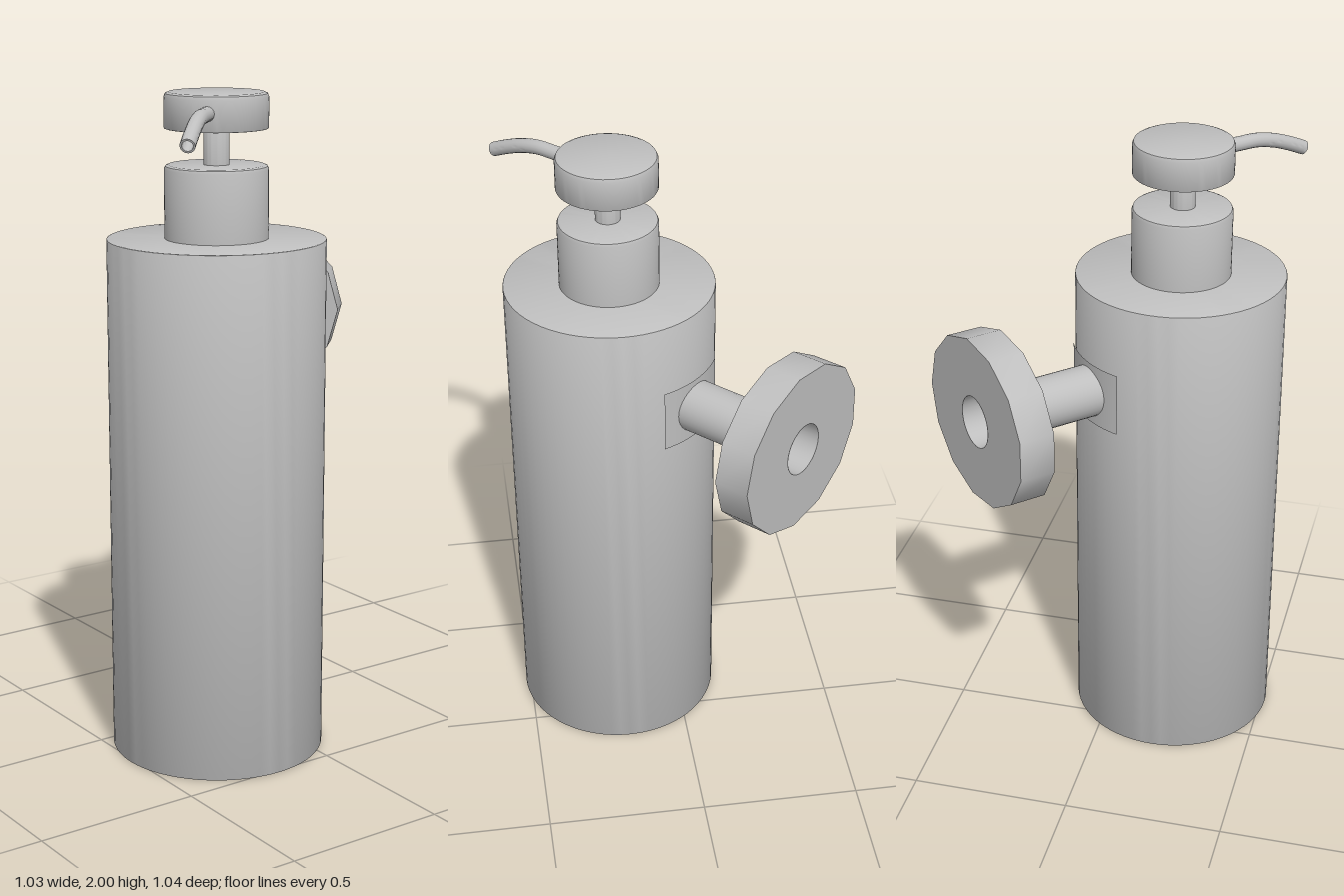
import * as THREE from 'three';
import { toCreasedNormals } from 'three/addons/utils/BufferGeometryUtils.js';

const CENTER = 0.193; // bottle axis sits at x = z = CENTER

export function createModel() {
  const model = new THREE.Group();
  model.name = 'soapDispenser';
  const steel = new THREE.MeshStandardMaterial({ color: 0xbfbfbf, side: THREE.DoubleSide });
  steel.name = 'brushed steel';

  // Everything is built around the bottle axis with +z towards the spout, then turned 45 degrees
  const body = new THREE.Group();
  body.name = 'dispenser';
  body.position.set(CENTER, 0, CENTER);
  body.rotation.y = Math.PI / 4;
  model.add(body);

  const add = (name, geometry, crease = 0.6) => {
    const mesh = new THREE.Mesh(toCreasedNormals(geometry, crease), steel);
    mesh.name = name;
    body.add(mesh);
    return mesh;
  };

  // Upright turned part with small rounded rims
  const turned = (name, radius, y0, y1, bevelBottom, bevelTop) => {
    const points = [[0, y0], [radius - bevelBottom, y0]];
    if (bevelBottom) points.push([radius - bevelBottom * 0.3, y0 + bevelBottom * 0.3], [radius, y0 + bevelBottom]);
    else points.push([radius, y0 + 0.001]);
    points.push([radius, y1 - bevelTop], [radius - bevelTop * 0.3, y1 - bevelTop * 0.3], [radius - bevelTop, y1], [0, y1]);
    return add(name, new THREE.LatheGeometry(points.map(([x, y]) => new THREE.Vector2(x, y)), 64));
  };

  turned('bottle', 0.3236, 0, 1.575, 0.004, 0.004);
  turned('collar', 0.153, 1.57, 1.79, 0, 0.012);
  turned('pumpStem', 0.038, 1.78, 1.9, 0, 0.001);
  turned('pumpHead', 0.153, 1.895, 2.0, 0.003, 0.014);

  // Bent hollow spout
  const spoutPath = new THREE.CatmullRomCurve3([
    [0.11, 1.948], [0.2, 1.948], [0.26, 1.947], [0.32, 1.935], [0.38, 1.914], [0.437, 1.889],
  ].map(([z, y]) => new THREE.Vector3(0, y, z)));
  add('spout', new THREE.TubeGeometry(spoutPath, 24, 0.022, 16, false));
  add('spoutBore', new THREE.TubeGeometry(spoutPath, 24, 0.016, 16, false));
  const lip = add('spoutLip', new THREE.RingGeometry(0.016, 0.022, 16));
  lip.position.copy(spoutPath.getPoint(1));
  lip.quaternion.setFromUnitVectors(new THREE.Vector3(0, 0, 1), spoutPath.getTangent(1));

  // Hollow arm reaching back to the wall
  const ARM_Y = 1.253, PLATE_FRONT = -0.607, PLATE_DEPTH = 0.112;
  const arm = add('arm', new THREE.CylinderGeometry(0.081, 0.081, 0.42, 32, 1, true).rotateX(Math.PI / 2));
  arm.position.set(0, ARM_Y, -0.51);

  // Curved saddle where the arm meets the bottle
  const saddle = add('saddle', new THREE.CylinderGeometry(0.332, 0.332, 0.2, 16, 1, true, Math.PI - 0.4, 0.8));
  saddle.position.y = ARM_Y;

  // Faceted oval wall plate with a round hole
  const SIDES = 13;
  const outline = new THREE.Shape(Array.from({ length: SIDES }, (_, i) => {
    const a = (i / SIDES) * Math.PI * 2;
    return new THREE.Vector2(0.289 * Math.cos(a), 0.264 * Math.sin(a));
  }));
  outline.holes.push(new THREE.Path().absarc(0, 0, 0.081, 0, Math.PI * 2, true));
  const plate = add('wallPlate', new THREE.ExtrudeGeometry(outline, {
    depth: PLATE_DEPTH, bevelEnabled: false, curveSegments: 16,
  }), 0.7);
  plate.position.set(0, ARM_Y, PLATE_FRONT - PLATE_DEPTH);

  return model;
}
